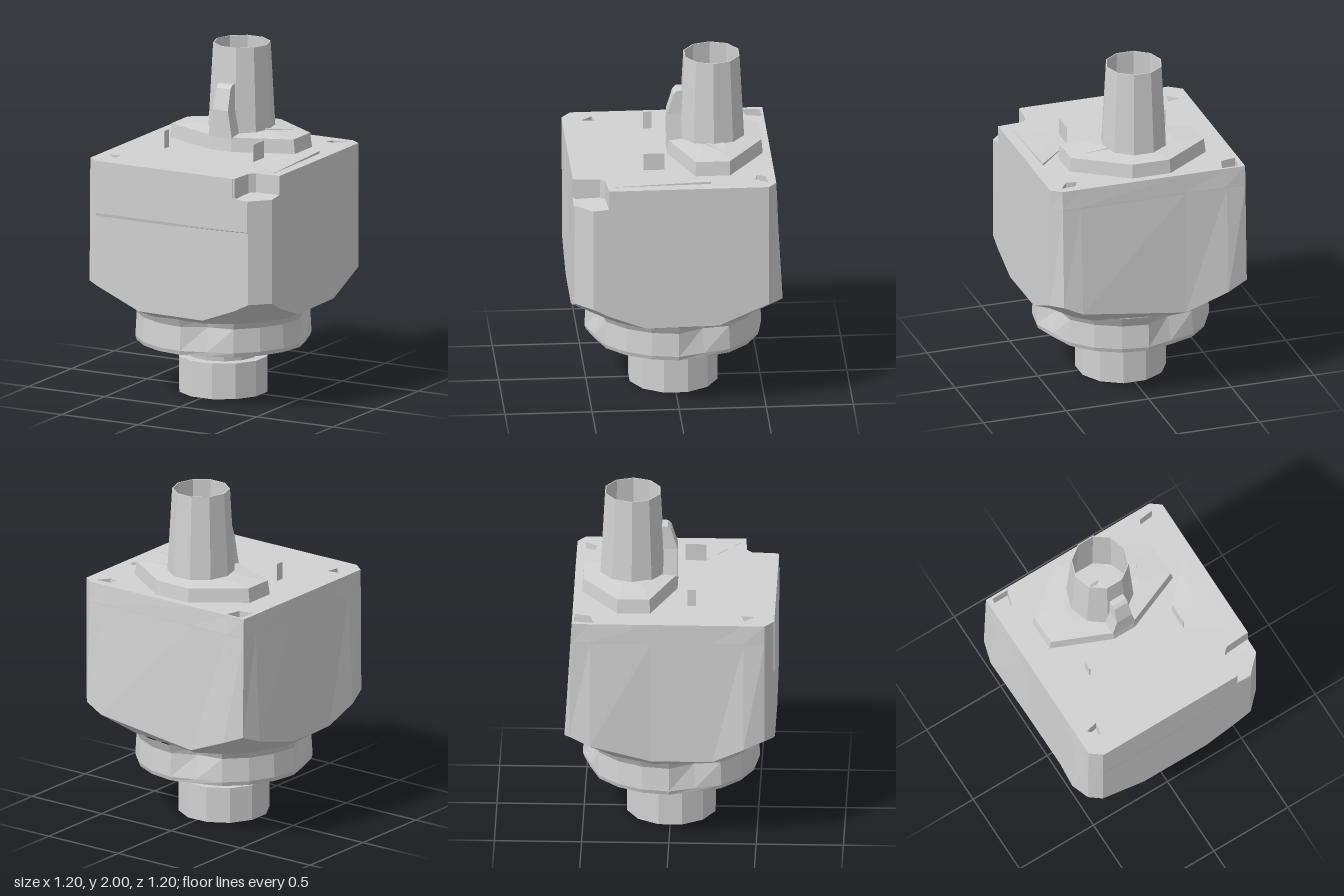
import * as THREE from 'three';

const TOP = 1.412;

// Faceted skin through rings of [x, y, z]; rings run counter-clockwise seen from above, bottom to top
function loft(rings, capStart = true, capEnd = true) {
  const p = [];
  const tri = (a, b, c) => p.push(...a, ...b, ...c);
  const n = rings[0].length;
  for (let k = 0; k + 1 < rings.length; k++) {
    const a = rings[k], b = rings[k + 1];
    for (let i = 0; i < n; i++) {
      const j = (i + 1) % n;
      tri(a[i], a[j], b[j]);
      tri(a[i], b[j], b[i]);
    }
  }
  const cap = (r, flip) => {
    const c = [0, 1, 2].map(k => r.reduce((s, v) => s + v[k], 0) / n);
    for (let i = 0; i < n; i++) {
      const j = (i + 1) % n;
      flip ? tri(c, r[j], r[i]) : tri(c, r[i], r[j]);
    }
  };
  if (capStart) cap(rings[0], true);
  if (capEnd) cap(rings[rings.length - 1], false);
  const g = new THREE.BufferGeometry();
  g.setAttribute('position', new THREE.Float32BufferAttribute(p, 3));
  g.computeVertexNormals();
  return g;
}

// Flat outline of [x, z] pairs lifted to a height, optionally scaled about the chimney axis
const at = (pts, y, s = 1) => pts.map(([x, z]) => [x * s, y, -0.23 + (z + 0.23) * s]);

// Regular polygon ring around (0, cz); r may be a function of the corner index
function circle(n, r, y, cz = 0, turn = 0) {
  return Array.from({ length: n }, (_, i) => {
    const a = -(i + turn) / n * Math.PI * 2;
    const q = typeof r === 'function' ? r(i) : r;
    return [Math.cos(a) * q, y, cz + Math.sin(a) * q];
  });
}

const rect = (x0, x1, z0, z1, y) => at([[x0, z1], [x1, z1], [x1, z0], [x0, z0]], y);

export function createModel() {
  const model = new THREE.Group();
  const grey = new THREE.MeshStandardMaterial({ color: 0xd2d2d2 });
  grey.name = 'paleGrey';
  const add = (name, geometry) => {
    const m = new THREE.Mesh(geometry, grey);
    m.name = name;
    model.add(m);
    return m;
  };

  // Housing: chamfered square whose bulging corners draw in towards the top on two sides
  const wide = [
    [-0.5, 0.6], [-0.22, 0.6], [0.2, 0.6], [0.41, 0.6], [0.5, 0.6],
    [0.6, 0.5], [0.6, 0.41], [0.6, 0.2], [0.6, -0.22], [0.6, -0.51],
    [0.54, -0.585], [0.43, -0.6], [-0.2, -0.577], [-0.45, -0.6], [-0.57, -0.57],
    [-0.6, -0.45], [-0.572, -0.1], [-0.57, 0.25], [-0.6, 0.43], [-0.57, 0.55]
  ];
  const taper = t => wide.map(([x, z]) => [
    x + t * (Math.max(x, -0.565) - x),
    z + t * (Math.max(z, -0.555) - z)
  ]);
  // The front corner is cut back near the top
  const notch = pts => pts.map((p, i) => i === 4 ? [0.42, 0.45] : i === 5 ? [0.45, 0.42] : p);
  const onCircle = (r, y) => wide.map(([x, z]) => {
    const l = Math.hypot(x, z);
    return [x / l * r, y, z / l * r];
  });
  // Lower rim rises towards the corners
  const skirt = wide.map(([x, z]) => {
    const r = Math.hypot(x, z);
    return [x, 0.55 + Math.max(0, r - 0.63) * 0.85, z];
  });
  const low = taper(0.82), lid = notch(taper(1));
  add('housing', loft([
    onCircle(0.3, 0.52), onCircle(0.53, 0.51), skirt,
    at(low, 1.29), at(notch(low), 1.30), at(lid, TOP)
  ], true, false));

  // Shallow pockets in three corners of the lid
  const pockets = [
    [[-0.5, 0.43], [-0.445, 0.49], [-0.43, 0.415]],
    [[0.42, -0.45], [0.48, -0.44], [0.53, -0.51], [0.44, -0.5]],
    [[-0.545, -0.43], [-0.455, -0.45], [-0.43, -0.54], [-0.53, -0.54]]
  ];
  const toPath = pts => pts.map(([x, z]) => new THREE.Vector2(x, -z));
  const lidShape = new THREE.Shape(toPath(lid));
  pockets.forEach(p => {
    lidShape.holes.push(new THREE.Path(toPath(p)));
    add('lidPocket', loft([at(p, TOP), at(p, TOP - 0.09)], false, true));
  });
  add('lid', new THREE.ShapeGeometry(lidShape).rotateX(-Math.PI / 2).translate(0, TOP, 0));

  // Overhanging front panel with a slanted lower edge
  const panel = (z, drop) => [
    [-0.5, 1.105 - drop], [0.5, 1.105 - drop * 0.2], [0.5, 1.28], [0.4, 1.30],
    [0.4, TOP], [-0.5, TOP]
  ].map(([x, y]) => [x, y, z]);
  add('frontPanel', loft([panel(0.596, 0.035), panel(0.604, 0)]));

  // Faint peak along one side of the lid
  const ramp = [[0.3, 0.18], [0.54, 0.38], [0.53, -0.18], [0.3, 0.06]];
  add('lidRamp', loft([at(ramp, TOP - 0.01),
    ramp.map(([x, z], i) => [x, TOP + (i === 2 ? 0.014 : 0.001), z])]));

  // Lid fins
  for (const [x, z, depth] of [[-0.304, 0.125, 0.05], [0.304, 0.13, 0.12]]) {
    const fin = add('lidFin', new THREE.BoxGeometry(0.004, 0.12, depth));
    fin.position.set(x, 1.455, z);
  }

  // Mounting flange, slightly domed under the chimney
  const flange = [[-0.415, -0.11], [-0.07, 0.038], [0.07, 0.038], [0.415, -0.1],
    [0.415, -0.3], [0.1, -0.51], [-0.13, -0.51], [-0.415, -0.3]];
  add('flange', loft([at(flange, 1.4), at(flange, 1.495, 0.97), at(flange, 1.508, 0.55)]));

  // Hollow tapered chimney
  const chimney = (r, y) => circle(10, r, y, -0.222).map(([x, h, z]) => [x - 0.004, h, z]);
  add('chimney', loft([
    chimney(0.194, 1.48), chimney(0.19, 1.56), chimney(0.166, 2),
    chimney(0.16, 2), chimney(0.178, 1.5)
  ], false, false));

  // Small square socket inside the chimney
  add('socket', loft([
    rect(-0.065, 0.055, -0.325, -0.19, 1.48), rect(-0.06, 0.05, -0.32, -0.195, 1.53),
    rect(-0.035, 0.025, -0.28, -0.22, 1.53), rect(-0.02, 0.01, -0.265, -0.235, 1.5)
  ]));

  // Rib on the front of the chimney
  add('rib', loft([
    rect(-0.08, 0.075, -0.08, 0.036, 1.49), rect(-0.05, 0.05, -0.08, 0.036, 1.65),
    rect(-0.046, 0.046, -0.08, 0, 1.77), rect(-0.046, 0.046, -0.08, -0.02, 1.79)
  ]));

  // Low wedge beside the chimney foot
  const wedge = [[0.14, -0.16], [0.2, -0.19], [0.3, -0.28], [0.14, -0.28]];
  add('wedge', loft([at(wedge, 1.48), wedge.map(([x, z], i) => [x, i === 2 ? 1.504 : 1.516, z])]));

  // Collar with shallow dents and a hollow underside
  const dented = (r, d) => i => (i % 5 === 1 ? r - d : r);
  add('collar', loft([
    circle(20, 0.17, 0.43), circle(20, 0.39, 0.41), circle(20, dented(0.44, 0.02), 0.315),
    circle(20, dented(0.5, 0.02), 0.305), circle(20, dented(0.508, 0.025), 0.33),
    circle(20, dented(0.5, 0.05), 0.47), circle(20, dented(0.53, 0.06), 0.53)
  ], false, false));

  // Stem and foot
  add('stem', loft([circle(12, 0.2, 0.2), circle(12, 0.215, 0.31), circle(12, 0.2, 0.47)]));
  add('foot', loft([circle(12, 0.262, 0, 0, 0.5), circle(12, 0.262, 0.21, 0, 0.5)]));

  return model;
}
